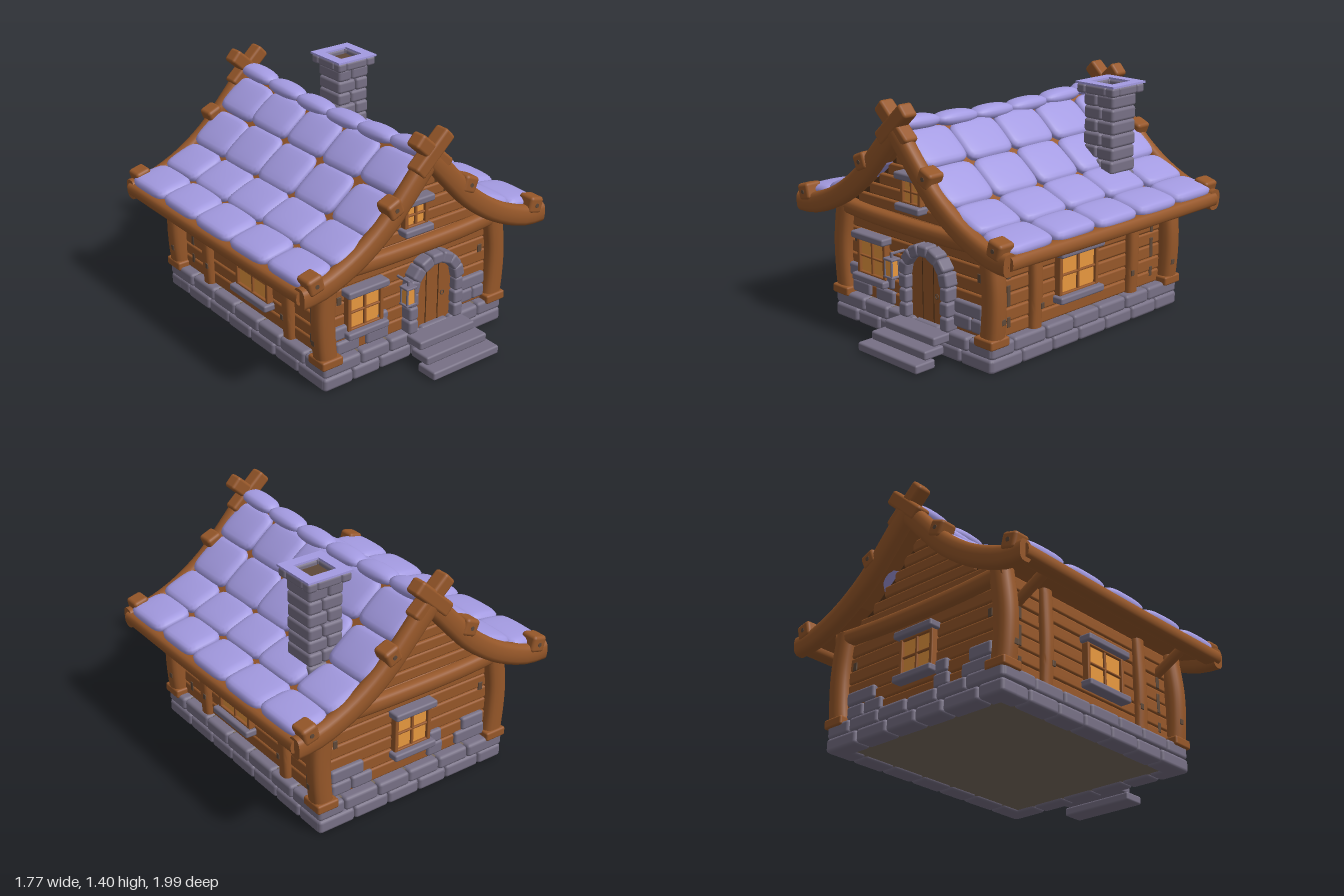
import * as THREE from 'three';
import { mergeVertices, toCreasedNormals } from 'three/addons/utils/BufferGeometryUtils.js';
import { RoundedBoxGeometry } from 'three/addons/geometries/RoundedBoxGeometry.js';

const paint = (name, color) => Object.assign(new THREE.MeshStandardMaterial({ color }), { name });

export function createModel() {
  const wood = paint('wood', 0x965729), gap = paint('dark wood', 0x583519), stone = paint('stone', 0x777085);
  const tile = paint('roof tile', 0xa49be2), glass = paint('lit glass', 0xe9993f);
  const soot = paint('worn wood', 0x5e4838), earth = paint('floor', 0x786a5e);
  const model = new THREE.Group(), house = new THREE.Group();
  house.name = 'house';
  house.position.z = -0.075; // the steps push the house back from the centre
  model.add(house);
  let seed = 7;
  const jitter = a => ((seed = (seed * 16807) % 2147483647) / 2147483647 - 0.5) * 2 * a;

  const add = (name, geo, mat, x = 0, y = 0, z = 0, parent = house) => {
    const m = new THREE.Mesh(geo, mat);
    m.name = name;
    m.position.set(x, y, z);
    parent.add(m);
    return m;
  };
  const block = (name, mat, w, h, d, x, y, z, r = 0.015, parent = house) =>
    add(name, new RoundedBoxGeometry(w, h, d, 2, Math.min(r, w * 0.45, h * 0.45, d * 0.45)), mat, x, y, z, parent);
  // Rounded beam swept along a path
  const beam = (name, pts, a, b) => {
    const section = new THREE.Shape(Array.from({ length: 16 }, (_, i) => {
      const t = i / 16 * Math.PI * 2, p = v => Math.sign(v) * Math.abs(v) ** 0.7;
      return new THREE.Vector2(p(Math.cos(t)) * a / 2, p(Math.sin(t)) * b / 2);
    }));
    const path = new THREE.CatmullRomCurve3(pts.map(p => new THREE.Vector3(...p)));
    const geo = new THREE.ExtrudeGeometry(section, { steps: 16, extrudePath: path });
    return add(name, toCreasedNormals(geo, 0.8), wood);
  };
  // Cushion shape: a cube rounded to a superellipsoid
  const pillow = (w, h, d, n) => {
    let g = new THREE.BoxGeometry(2, 2, 2, 8, 4, 8);
    g.deleteAttribute('uv');
    g.deleteAttribute('normal');
    g = mergeVertices(g);
    const p = g.attributes.position, v = new THREE.Vector3();
    for (let i = 0; i < p.count; i++) {
      v.fromBufferAttribute(p, i);
      const r = (Math.abs(v.x) ** n + Math.abs(v.y) ** n + Math.abs(v.z) ** n) ** (1 / n);
      v.divideScalar(r);
      p.setXYZ(i, v.x * w / 2, v.y * h / 2 * (1 - 0.3 * (v.x * v.x + v.z * v.z) / 2), v.z * d / 2);
    }
    g.computeVertexNormals();
    return g;
  };

  // Roof and gable profiles (half)
  const roof = [[0, 1.28], [0.04, 1.245], [0.22, 1.08], [0.42, 0.91], [0.64, 0.812], [0.865, 0.76]];
  const gable = [[0.01, 1.21], [0.15, 1.07], [0.3, 0.92], [0.5, 0.77], [0.6, 0.72]];
  const gableWidth = y => {
    const i = Math.max(1, gable.findIndex(p => p[1] <= y)), [p, q] = [gable[i - 1], gable[i]];
    return 2 * (p[0] + (q[0] - p[0]) * (y - p[1]) / (q[1] - p[1]));
  };
  const flip = pts => pts.slice().reverse().map(([x, y]) => [-x, y]);
  const prism = (pts, z) => {
    const s = new THREE.Shape(pts.map(p => new THREE.Vector2(...p)));
    return new THREE.ExtrudeGeometry(s, { depth: z * 2, bevelEnabled: false }).translate(0, 0, -z);
  };

  // Foundation
  add('floor', new THREE.BoxGeometry(1.22, 0.14, 1.5), earth, 0, 0.085, 0);
  const course = (len, n, off, put) => {
    const cuts = Array.from({ length: n + 1 }, (_, i) =>
      -len / 2 + len * i / n + (i % n ? off + jitter(0.015) : 0));
    for (let i = 0; i < n; i++) put((cuts[i] + cuts[i + 1]) / 2, cuts[i + 1] - cuts[i] - 0.004);
  };
  for (const s of [-1, 1]) for (const c of [0, 1]) {
    const y = 0.042 + c * 0.08, off = c ? 0.03 : -0.03;
    course(1.32, 6, off, (x, w) => block('foundationStone', stone, w, 0.082, 0.12, x, y, s * (0.735 + jitter(0.004)), 0.02));
    course(1.58, 7, off, (z, w) => block('foundationStone', stone, 0.12, 0.082, w, s * (0.6 + jitter(0.004)), y, z, 0.02));
  }

  // Plank walls over a dark core
  const coreHalf = [...gable.slice(0, 4), [0.585, 0.72], [0.585, 0.15]];
  add('wallCore', prism([...coreHalf, ...flip(coreHalf)], 0.718), gap);
  for (let i = 0; i < 7; i++)
    block('wallPlank', wood, 1.2 + jitter(0.006), 0.077, 1.47 + jitter(0.008), 0, 0.2 + i * 0.081, 0, 0.012);
  for (let y = 0.755; y < 1.18; y += 0.072)
    block('gablePlank', wood, gableWidth(y + 0.02), 0.068, 1.47 + jitter(0.008), 0, y, 0, 0.012);

  // Posts, feet, braces and tie beams
  for (const sz of [-1, 1]) {
    for (const sx of [-1, 1]) {
      beam('cornerPost', [[0.605, 0.15], [0.62, 0.3], [0.622, 0.48], [0.59, 0.72]].map(([x, y]) => [sx * x, y, sz * 0.735]), 0.115, 0.125);
      block('postFoot', wood, 0.14, 0.055, 0.14, sx * 0.605, 0.17, sz * 0.735, 0.012);
      beam('eaveBrace', [[sx * 0.58, 0.575, sz * 0.615], [sx * 0.67, 0.625, sz * 0.615], [sx * 0.78, 0.69, sz * 0.615]], 0.055, 0.055);
      beam('sidePost', [[sx * 0.605, 0.16, sz * 0.41], [sx * 0.615, 0.4, sz * 0.41], [sx * 0.605, 0.72, sz * 0.41]], 0.08, 0.07);
      // Worn patches on the side walls, posts and gable ends
      for (const [y, z, h] of [[0.39, 0.605, 0.12], [0.52, 0.605, 0.07], [0.24, 0.605, 0.06]])
        block('wornPatch', soot, 0.008, h, 0.025, sx * 0.602, y, sz * z, 0.004);
      block('wornPatch', soot, 0.008, 0.035, 0.025, sx * 0.647, 0.29, sz * 0.385, 0.004);
      block('wornPatch', soot, 0.008, 0.035, 0.03, sx * 0.679, 0.29, sz * 0.72, 0.004);
      block('wornPatch', soot, 0.03, 0.05, 0.008, sx * 0.515, 0.5, sz * 0.737, 0.004);
    }
    beam('tieBeam', [[-0.64, 0.695, sz * 0.745], [-0.3, 0.675, sz * 0.745], [0.3, 0.675, sz * 0.745], [0.64, 0.695, sz * 0.745]], 0.09, 0.095);
  }

  // Roof deck, tiles and ridge caps
  const deckTop = roof.map(([x, y]) => [x, y - 0.05]);
  const deckLow = roof.map(([x, y]) => [x, y - 0.09]);
  add('roofDeck', prism([...deckTop, ...deckLow.slice(1).reverse(), [0, deckLow[0][1]],
    ...deckLow.slice(1).map(([x, y]) => [-x, y]), ...flip(deckTop.slice(1))], 0.87), wood);
  for (const s of [-1, 1]) for (let r = -2; r < 3; r++) for (let c = 1; c < 5; c++) {
    const [x0, y0] = roof[c], [x1, y1] = roof[c + 1];
    const len = Math.hypot(x1 - x0, y1 - y0), a = Math.atan2(y1 - y0, x1 - x0);
    const lift = c === 1 ? 0.003 * r * r : 0;
    const t = add('roofTile', pillow(len * 1.05 + jitter(0.01), 0.085, 0.333 + jitter(0.012), 5), tile,
      s * ((x0 + x1) / 2 - 0.01), (y0 + y1) / 2 - 0.03 + lift + jitter(0.004), r * 0.342 + jitter(0.006));
    t.rotation.set(jitter(0.02) - (c === 1 ? r * 0.01 : 0), 0, s * (a + 0.06 + jitter(0.02)));
  }
  for (let i = 0; i < 6; i++) {
    const u = (i - 2.5) / 2.5;
    add('ridgeCap', pillow(0.14, 0.085, 0.31, 2.6), tile, 0, 1.243 + 0.028 * u * u, u * 0.712).rotation.x = -u * 0.05;
  }

  // Barge boards, apex crosses, pegs and eave beams
  const barge = [[-0.03, 1.275], [0.05, 1.195], [0.15, 1.085], [0.3, 0.93], [0.5, 0.79], [0.7, 0.705], [0.79, 0.688], [0.865, 0.685]];
  for (const sx of [-1, 1]) {
    for (const sz of [-1, 1]) {
      beam('bargeBoard', barge.map(([x, y]) => [sx * x, y, sz * (0.86 + sx * 0.002)]), 0.09, 0.125);
      block('apexCross', wood, 0.29, 0.088, 0.094, 0, 1.28, sz * (0.86 + sx * 0.002), 0.018).rotation.z = sx * 0.74;
      for (const [x, y, a] of [[0.79, 0.755, -0.25], [0.265, 1.03, -0.4]]) {
        block('peg', wood, 0.1, 0.1, 0.11, sx * x, y, sz * 0.856, 0.02).rotation.z = sx * a;
        add('pegNail', new THREE.CylinderGeometry(0.013, 0.013, 0.006, 10), soot, sx * x, y, sz * 0.911).rotation.x = Math.PI / 2;
      }
    }
    beam('eaveBeam', [[sx * 0.835, 0.69, -0.86], [sx * 0.835, 0.685, 0], [sx * 0.835, 0.69, 0.86]], 0.105, 0.085);
  }

  // Windows: glass, wooden frame and stone lintel and sill
  const windowUnit = (name, w, h, x, y, z, turn = 0) => {
    const g = new THREE.Group();
    g.name = name;
    g.position.set(x, y, z);
    g.rotation.y = turn;
    house.add(g);
    add('glass', new THREE.BoxGeometry(w, h, 0.008), glass, 0, 0, 0.012, g);
    for (const s of [-1, 1]) {
      block('jamb', wood, 0.024, h, 0.05, s * (w / 2 + 0.005), 0, 0.01, 0.006, g);
      block('rail', wood, w, 0.016, 0.045, 0, s * (h / 2 - 0.004), 0.01, 0.006, g);
      block(s > 0 ? 'lintel' : 'sill', stone, w + 0.07, 0.043, 0.085, 0, s * (h / 2 + 0.02), 0.025, 0.012, g);
    }
    block('mullion', wood, 0.017, h, 0.03, 0, 0, 0.014, 0.005, g);
    block('crossbar', wood, w, 0.013, 0.03, 0, 0, 0.014, 0.005, g);
  };
  windowUnit('frontWindow', 0.215, 0.215, -0.352, 0.415, 0.735);
  windowUnit('gableWindow', 0.135, 0.14, 0, 0.878, 0.735);
  windowUnit('backWindow', 0.22, 0.22, 0, 0.42, -0.735, Math.PI);
  for (const s of [-1, 1]) windowUnit('sideWindow', 0.29, 0.23, s * 0.605, 0.415, 0.075, s * Math.PI / 2);

  // Stones set into the front and back walls: x, y, width, side
  for (const [x, y, w, s] of [[-0.465, 0.21, 0.16, 1], [-0.255, 0.21, 0.16, 1], [-0.515, 0.305, 0.12, 1], [-0.22, 0.3, 0.08, 1],
    [0.39, 0.225, 0.14, 1], [0.505, 0.225, 0.09, 1], [0.44, 0.307, 0.22, 1],
    [0.34, 0.215, 0.14, -1], [0.48, 0.215, 0.13, -1], [0.44, 0.3, 0.22, -1],
    [-0.18, 0.215, 0.11, -1], [-0.18, 0.295, 0.09, -1], [-0.44, 0.215, 0.22, -1], [-0.46, 0.295, 0.16, -1]])
    block('wallStone', stone, w, 0.08, 0.06, x, y, s * 0.728, 0.016);

  // Arched door with stone surround
  const cx = 0.133, cy = 0.41;
  const arch = new THREE.Shape();
  arch.moveTo(-0.145, 0.15);
  arch.lineTo(0.145, 0.15);
  arch.lineTo(0.145, cy);
  arch.absarc(0, cy, 0.145, 0, Math.PI, false);
  add('door', new THREE.ExtrudeGeometry(arch, { depth: 0.05, bevelEnabled: false, curveSegments: 16 }), wood, cx, 0, 0.71);
  for (const s of [-1, 1]) {
    add('doorGap', new THREE.BoxGeometry(0.006, 0.37, 0.004), gap, cx + s * 0.045, 0.34, 0.761);
    for (let i = 0; i < 3; i++)
      block('doorStone', stone, 0.066 + jitter(0.006), 0.084, 0.09, cx + s * 0.168, 0.197 + i * 0.085, 0.765, 0.016);
  }
  for (let i = 0; i < 7; i++) {
    const a = (i + 0.5) / 7 * Math.PI;
    block('archStone', stone, 0.068 + jitter(0.006), 0.082, 0.095, cx + 0.168 * Math.cos(a), cy + 0.168 * Math.sin(a), 0.765, 0.016).rotation.z = a;
  }
  add('doorHandle', new THREE.TorusGeometry(0.013, 0.0035, 6, 14), soot, 0.207, 0.325, 0.766);

  // Floating stone steps
  for (let i = 0; i < 3; i++)
    block('step', stone, 0.49 - i * 0.04, 0.052, 0.14, 0.132, 0.03 + i * 0.05, 1.005 - i * 0.082, 0.012);

  // Lantern
  for (const s of [-1, 1]) {
    for (const t of [-1, 1])
      block('lanternCorner', stone, 0.012, 0.1, 0.012, -0.1 + s * 0.028, 0.435, 0.825 + t * 0.026, 0.004);
    block('lanternCap', stone, 0.076, 0.014, 0.068, -0.1, 0.435 + s * 0.052, 0.825, 0.005);
  }
  add('lanternGlass', new THREE.BoxGeometry(0.054, 0.092, 0.054), glass, -0.1, 0.435, 0.825);
  block('lanternHook', stone, 0.014, 0.035, 0.014, -0.1, 0.507, 0.825, 0.004);
  block('lanternArm', stone, 0.014, 0.014, 0.1, -0.1, 0.517, 0.78, 0.004);

  // Chimney
  const hx = 0.415, hz = -0.418;
  for (let i = 0; i < 7; i++) {
    const cut = i % 2 ? 0.02 : -0.015, y = 1.295 - i * 0.077;
    for (const s of [-1, 1])
      block('chimneyStone', stone, 0.111 - s * cut, 0.077, 0.208 + jitter(0.006), hx + s * 0.057 + cut / 2, y, hz, 0.018);
  }
  for (const s of [-1, 1]) {
    block('chimneyCap', stone, 0.155, 0.055, 0.062, hx, 1.36, hz + s * 0.107, 0.015);
    block('chimneyCap', stone, 0.062, 0.055, 0.155, hx + s * 0.107, 1.36, hz, 0.015);
    for (const t of [-1, 1]) block('chimneyCap', stone, 0.064, 0.055, 0.064, hx + s * 0.108, 1.36, hz + t * 0.108, 0.015);
  }
  add('flue', new THREE.BoxGeometry(0.17, 0.03, 0.17), soot, hx, 1.345, hz);
  const square = (P, r) => {
    const p = new P();
    [[-r, -r], [r, -r], [r, r], [-r, r]].forEach(([x, y], i) => i ? p.lineTo(x, y) : p.moveTo(x, y));
    p.closePath();
    return p;
  };
  const rim = square(THREE.Shape, 0.143);
  rim.holes.push(square(THREE.Path, 0.08));
  add('chimneyRim', new THREE.ExtrudeGeometry(rim, { depth: 0.012, bevelEnabled: false }).rotateX(-Math.PI / 2), tile, hx, 1.387, hz);
  return model;
}
